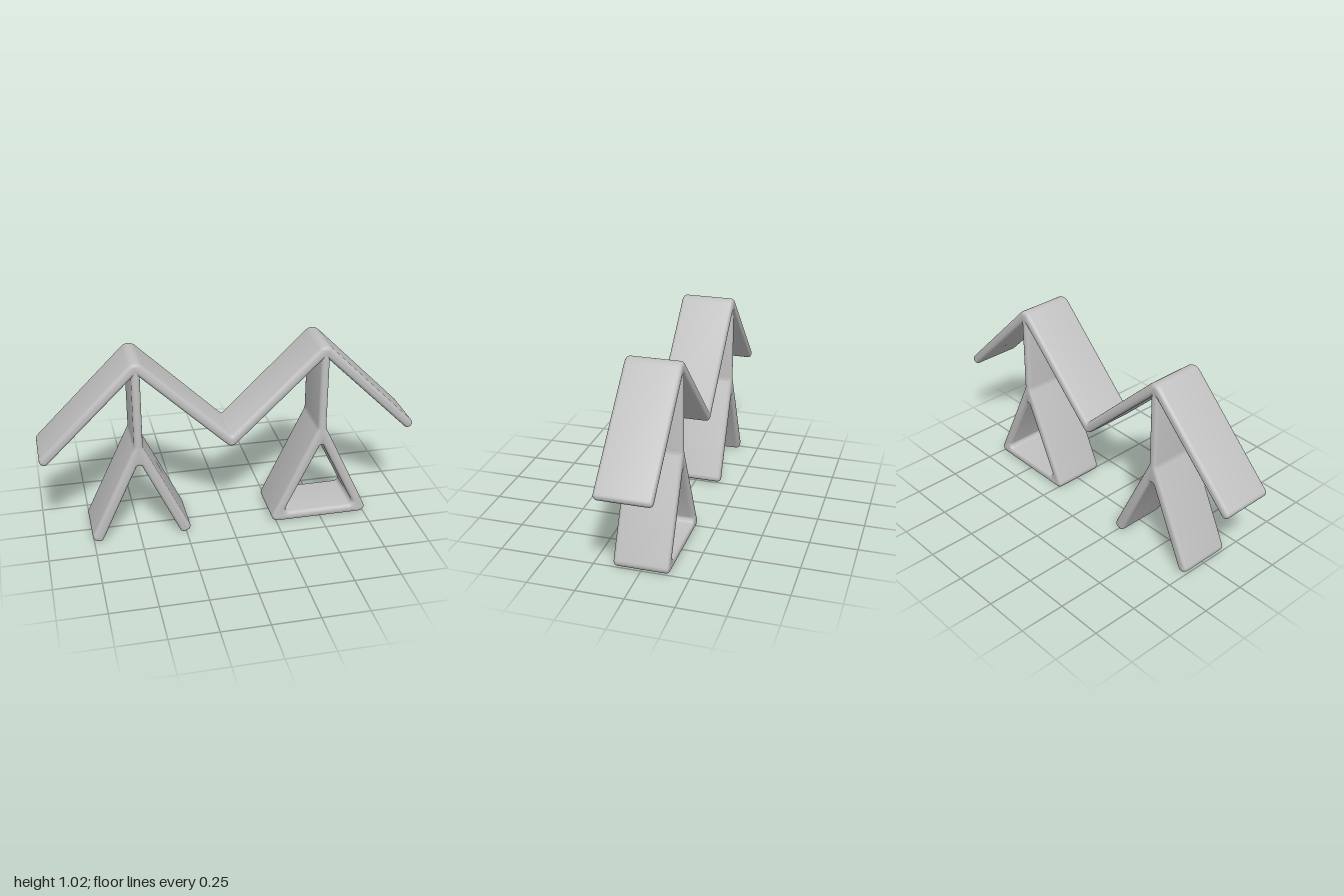
import * as THREE from 'three';
import { toCreasedNormals } from 'three/addons/utils/BufferGeometryUtils.js';

const DEPTH = 0.29, BEVEL = 0.02;
const PEAK_X = 0.492;

// Closed path through [x, y, radius] corners, each rounded by an arc-like curve
function roundedPath(path, corners) {
  const n = corners.length;
  corners.forEach(([x, y, r], i) => {
    const p = new THREE.Vector2(x, y);
    const a = new THREE.Vector2(...corners[(i + n - 1) % n].slice(0, 2)).sub(p);
    const b = new THREE.Vector2(...corners[(i + 1) % n].slice(0, 2)).sub(p);
    const half = Math.abs(a.angleTo(b)) / 2;
    const t = Math.min(r / Math.tan(half), a.length() * 0.48, b.length() * 0.48);
    const s = a.setLength(t).add(p), e = b.setLength(t).add(p);
    if (i === 0) path.moveTo(s.x, s.y); else path.lineTo(s.x, s.y);
    // Cubic handles that approximate the tangent arc
    const k = (4 / 3) * Math.tan((Math.PI - 2 * half) / 4) * Math.tan(half);
    const c1 = s.clone().lerp(p, k), c2 = e.clone().lerp(p, k);
    path.bezierCurveTo(c1.x, c1.y, c2.x, c2.y, e.x, e.y);
  });
  path.closePath();
  return path;
}

// Extruded slab with softly rounded rims; outline runs clockwise, hole counter-clockwise
function slab(name, material, corners, hole) {
  const shape = roundedPath(new THREE.Shape(), corners);
  if (hole) shape.holes.push(roundedPath(new THREE.Path(), hole));
  const geometry = new THREE.ExtrudeGeometry(shape, {
    depth: DEPTH - 2 * BEVEL, curveSegments: 6,
    bevelEnabled: true, bevelSize: BEVEL, bevelThickness: BEVEL, bevelOffset: -BEVEL, bevelSegments: 4,
  });
  geometry.translate(0, 0, -DEPTH / 2 + BEVEL);
  const mesh = new THREE.Mesh(toCreasedNormals(geometry, 0.7), material);
  mesh.name = name;
  return mesh;
}

// Appends the mirror image of a one-sided run of corners
const mirrored = (run) => [...run, ...run.map(([x, y, r]) => [-x, y, r]).reverse()];

export function createModel() {
  const group = new THREE.Group();
  group.name = 'doublePeakFrame';
  const grey = new THREE.MeshStandardMaterial({ color: 0xc0c0c0 });
  grey.name = 'plainGrey';

  // Zigzag roof with two peaks and a central valley
  const right = [
    [PEAK_X, 1.045, 0.05], [1.01, 0.527, 0.022], [0.975, 0.492, 0.022], [PEAK_X, 0.967, 0.025],
  ];
  const left = right.map(([x, y, r]) => [-x, y, r]).reverse();
  group.add(slab('zigzagRoof', grey, [
    [0, 0.562, 0.01], ...right, [0, 0.49, 0.035], ...left,
  ]));

  // Post running up into the roof peak, shared by both supports
  const post = [[0.0225, 0.998, 0.021], [0.0225, 0.55, 0.06]];

  // Support with two splayed legs
  const splayed = slab('splayedLegSupport', grey, mirrored([
    ...post, [0.272, 0.022, 0.025], [0.217, -0.004, 0.025], [0.012, 0.443, 0.015],
  ]));
  splayed.position.x = -PEAK_X;

  // Support with a closed triangular base
  const triangle = slab('triangularSupport', grey, mirrored([
    ...post, [0.282, 0, 0.03],
  ]), mirrored([[-0.008, 0.45, 0.012], [-0.203, 0.05, 0.022]]));
  triangle.position.x = PEAK_X;

  group.add(splayed, triangle);
  return group;
}
